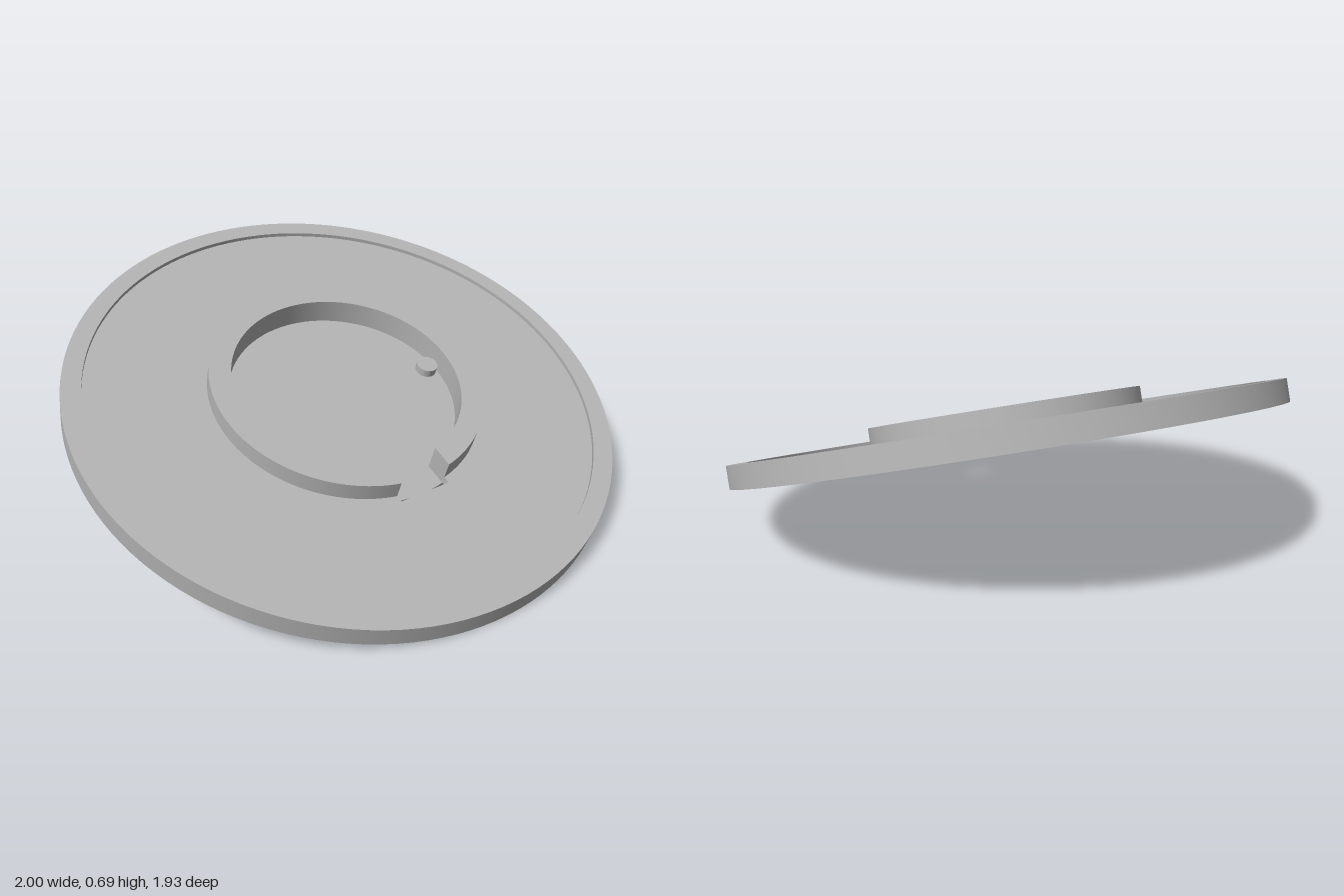
import * as THREE from 'three';
import { toCreasedNormals } from 'three/addons/utils/BufferGeometryUtils.js';

const metal = new THREE.MeshStandardMaterial({ color: 0xb4b4b4 });
metal.name = 'grey metal';

const TILT = Math.PI / 10;
const NOTCH = 0.1; // half width of the slot in the collar

// Flat plate: a plan outline raised from one height to another
function plate(name, shape, from, to) {
  let geo = new THREE.ExtrudeGeometry(shape, {
    depth: to - from, bevelEnabled: false, curveSegments: 64,
  });
  geo.rotateX(-Math.PI / 2);
  geo.translate(0, from, 0);
  geo = toCreasedNormals(geo, 0.5);
  const mesh = new THREE.Mesh(geo, metal);
  mesh.name = name;
  return mesh;
}

function circle(r, Type = THREE.Shape) {
  return new Type().absarc(0, 0, r, 0, Math.PI * 2, false);
}

// Angles where a circle meets the two sides of the slot (slot faces the front)
function slotAngles(r) {
  const half = Math.asin(NOTCH / r);
  return [-Math.PI / 2 + half, Math.PI * 1.5 - half];
}

export function createModel() {
  const model = new THREE.Group();
  const dish = new THREE.Group();
  dish.name = 'tiltedDish';

  // Thick outer rim
  const rim = circle(1);
  rim.holes.push(circle(0.93, THREE.Path));
  dish.add(plate('outerRim', rim, 0, 0.08));

  // Thinner web, its opening squared off at the slot
  const web = circle(0.93);
  const [a, b] = slotAngles(0.5);
  const opening = new THREE.Path();
  opening.absarc(0, 0, 0.5, a, b, false);
  opening.lineTo(-NOTCH, -0.515);
  opening.lineTo(NOTCH, -0.515);
  opening.closePath();
  web.holes.push(opening);
  dish.add(plate('web', web, 0.035, 0.065));

  // Base disc under the collar
  dish.add(plate('baseDisc', circle(0.5), 0.015, 0.035));

  // Slotted collar
  const collar = new THREE.Shape();
  const [c, d] = slotAngles(0.42);
  collar.absarc(0, 0, 0.5, a, b, false);
  collar.absarc(0, 0, 0.42, d, c, true);
  collar.closePath();
  dish.add(plate('collar', collar, 0.035, 0.132));

  // Small locating peg inside the collar
  const peg = plate('peg', circle(0.04), 0.035, 0.065);
  peg.position.x = 0.38;
  dish.add(peg);

  dish.rotation.x = TILT;
  dish.position.set(0, Math.sin(TILT), -0.012);
  model.add(dish);
  return model;
}
